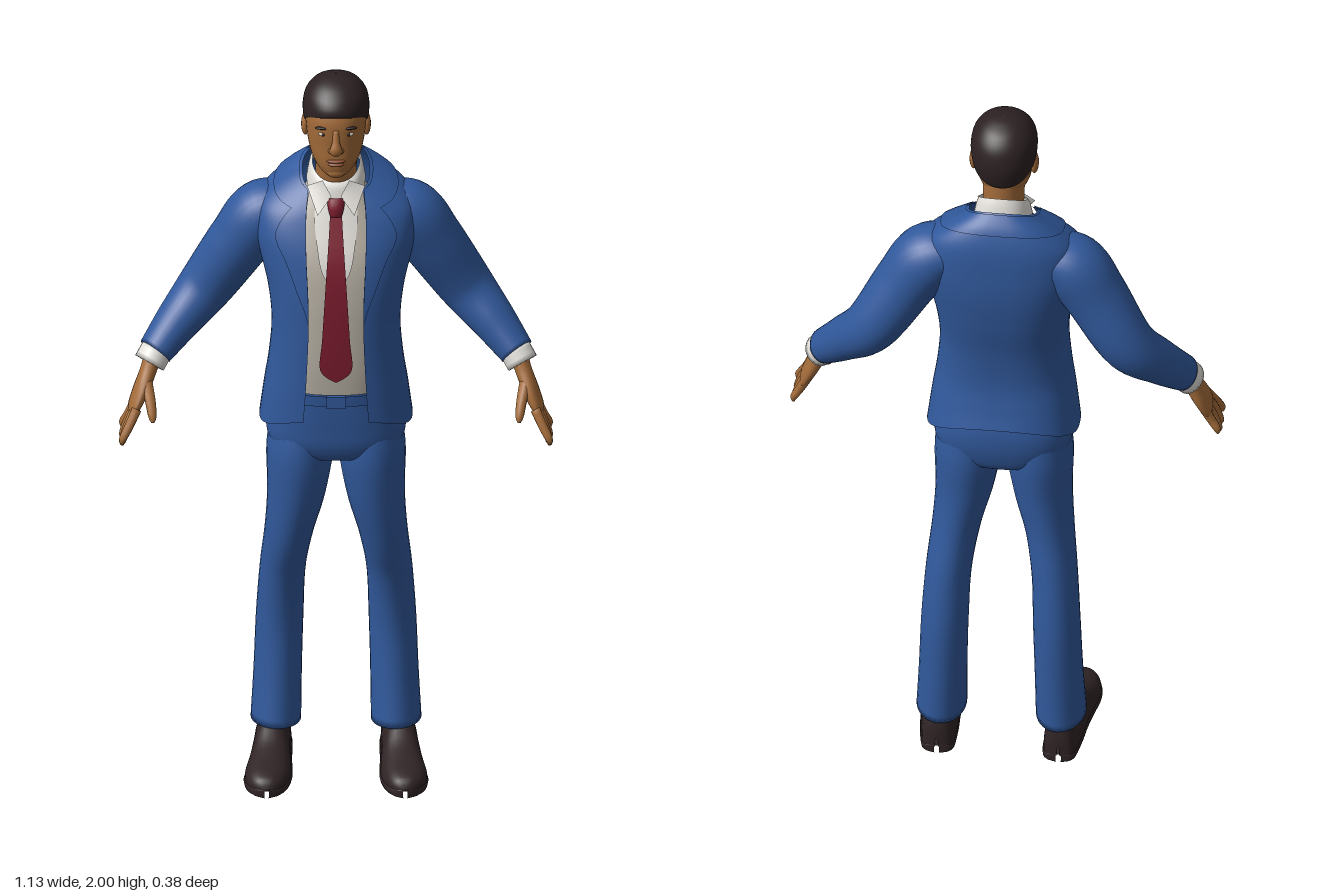
import * as THREE from 'three';

const mat = (name, color, side = THREE.FrontSide) => {
  const m = new THREE.MeshStandardMaterial({ color, side });
  m.name = name;
  return m;
};

// Grid surface from p(u, v); outward is du x dv. wrap joins the u ends.
function sheet(p, nu, nv, wrap = false) {
  const pos = [], idx = [], cols = wrap ? nu : nu + 1;
  for (let j = 0; j <= nv; j++)
    for (let i = 0; i < cols; i++) pos.push(...p(i / nu, j / nv));
  for (let j = 0; j < nv; j++)
    for (let i = 0; i < nu; i++) {
      const k = (i + 1) % cols, a = j * cols, b = a + cols;
      idx.push(a + i, a + k, b + k, a + i, b + k, b + i);
    }
  const g = new THREE.BufferGeometry();
  g.setAttribute('position', new THREE.Float32BufferAttribute(pos, 3));
  g.setIndex(idx);
  g.computeVertexNormals();
  return g;
}

// Smooth interpolation through a list of number rows
function row(rows, v) {
  const n = rows.length - 1, f = Math.min(Math.max(v, 0), 1) * n;
  const i = Math.min(Math.floor(f), n - 1), t = f - i;
  const a = rows[Math.max(i - 1, 0)], b = rows[i], c = rows[i + 1], d = rows[Math.min(i + 2, n)];
  return b.map((_, k) => b[k] + 0.5 * t * (c[k] - a[k] + t * (2 * a[k] - 5 * b[k] + 4 * c[k] - d[k]
    + t * (3 * (b[k] - c[k]) + d[k] - a[k]))));
}

const pw = (x, e) => Math.sign(x) * Math.abs(x) ** e;

// Body section row: [yFront, yBack, halfWidth, zFront, zBack, sideDip]; t = 0 is the front
function bodyPoint([yf, yb, w, zf, zb, dip = 0], t, e, off = 0) {
  const s = Math.sin(t), c = Math.cos(t);
  return [(w + off) * pw(s, e), yb + (yf - yb) * (1 + c) / 2 - dip * s * s,
    (zf + zb) / 2 + ((zf - zb) / 2 + off) * pw(c, e)];
}
const body = (rows, e = 0.8, nv = 32) =>
  sheet((u, v) => bodyPoint(row(rows, v), u * Math.PI * 2, e), 40, nv, true);

// Tapered limb through rows [x, y, z, radiusA, radiusB], closed at both ends
function limb(rows, nu = 20, nv = 24) {
  const ref = new THREE.Vector3(0, 0, 1);
  return sheet((u, v) => {
    const j = Math.round(v * (nv + 2)), w = THREE.MathUtils.clamp((j - 1) / nv, 0, 1);
    const c = row(rows, w), p = row(rows, w - 0.01), q = row(rows, w + 0.01);
    const T = new THREE.Vector3(q[0] - p[0], q[1] - p[1], q[2] - p[2]).normalize();
    const A = T.clone().cross(ref).normalize(), B = T.clone().cross(A);
    const k = j === 0 || j === nv + 2 ? 0 : 1, a = u * Math.PI * 2;
    const o = A.multiplyScalar(c[3] * k * Math.cos(a)).addScaledVector(B, c[4] * k * Math.sin(a));
    return [c[0] + o.x, c[1] + o.y, c[2] + o.z];
  }, nu, nv + 2, true);
}

function mirrored(geo) {
  const g = geo.clone().scale(-1, 1, 1);
  g.setIndex(Array.from(g.index.array).reverse());
  return g;
}

const ball = (x, y, z, a, b, c) => new THREE.SphereGeometry(1, 16, 12).scale(a, b, c).translate(x, y, z);

export function createModel() {
  const model = new THREE.Group();
  model.name = 'manInSuit';
  const D = THREE.DoubleSide;
  const suit = mat('suitBlue', 0x31599c, D), shirt = mat('shirtWhite', 0xe4e1dc, D);
  const vest = mat('waistcoatGrey', 0xb9b2a6), tie = mat('tieRed', 0x7c1c2e, D);
  const skin = mat('skin', 0xa46c3a), lips = mat('lips', 0x8a5034);
  const hair = mat('hair', 0x2c2122, D), leather = mat('shoeLeather', 0x302425);
  const white = mat('eyeWhite', 0xd8d0c4);
  const add = (name, geo, m) => {
    const mesh = new THREE.Mesh(geo, m);
    mesh.name = name;
    model.add(mesh);
  };
  const pair = (name, geo, m) => {
    add(name + 'Left', geo, m);
    add(name + 'Right', mirrored(geo), m);
  };

  // Trousers
  add('trouserSeat', body([
    [0.9, 0.89, 0.03, 0.0, -0.07], [0.92, 0.91, 0.13, 0.065, -0.125], [0.96, 0.96, 0.176, 0.088, -0.145],
    [1.02, 1.02, 0.182, 0.094, -0.15], [1.08, 1.08, 0.168, 0.097, -0.14], [1.15, 1.15, 0.15, 0.1, -0.125],
  ]), suit);
  pair('trouserLeg', limb([
    [0.157, 0.105, -0.083, 0.066, 0.092], [0.152, 0.25, -0.094, 0.063, 0.083], [0.147, 0.4, -0.097, 0.062, 0.078],
    [0.139, 0.55, -0.077, 0.06, 0.081], [0.122, 0.68, -0.045, 0.064, 0.094], [0.103, 0.8, -0.03, 0.077, 0.105],
    [0.094, 0.92, -0.027, 0.088, 0.113], [0.09, 1.02, -0.03, 0.08, 0.1],
  ], 28, 36), suit);
  add('belt', body([[1.095, 1.095, 0.164, 0.104, -0.14], [1.125, 1.125, 0.158, 0.106, -0.134]], 0.8, 2), suit);
  add('beltBuckle', new THREE.BoxGeometry(0.05, 0.034, 0.012).translate(0, 1.11, 0.106), suit);

  // Shoes: rows of z, centre x, half width, height
  const shoeRows = [
    [-0.174, 0.16, 0.004, 0.05], [-0.168, 0.16, 0.03, 0.1], [-0.145, 0.16, 0.042, 0.13], [-0.08, 0.164, 0.048, 0.135],
    [-0.02, 0.168, 0.05, 0.125], [0.04, 0.172, 0.056, 0.09], [0.1, 0.178, 0.06, 0.07],
    [0.15, 0.181, 0.05, 0.058], [0.18, 0.181, 0.03, 0.045], [0.192, 0.181, 0.003, 0.02],
  ];
  pair('shoe', sheet((u, v) => {
    const [z, x, w, h] = row(shoeRows, v), a = u * Math.PI * 2, s = Math.sin(a);
    return [x + w * pw(Math.cos(a), 0.8), s > 0 ? 0.02 + (h - 0.02) * s ** 0.9 : 0.02, z];
  }, 28, 32, true), leather);
  pair('shoeSole', sheet((u, v) => {
    const [z, x, w] = row(shoeRows, v), a = u * Math.PI * 2;
    return [x + (w + 0.003) * pw(Math.cos(a), 0.4), 0.012 + 0.012 * pw(Math.sin(a), 0.4), z];
  }, 16, 32, true), leather);

  // Waistcoat body
  const torso = [
    [1.13, 1.13, 0.14, 0.108, -0.1], [1.2, 1.2, 0.15, 0.112, -0.12], [1.3, 1.3, 0.15, 0.112, -0.12],
    [1.4, 1.4, 0.155, 0.107, -0.12], [1.5, 1.5, 0.16, 0.091, -0.12], [1.6, 1.6, 0.13, 0.053, -0.12],
    [1.68, 1.68, 0.07, 0.02, -0.1],
  ];
  add('waistcoat', body(torso), vest);
  // Height of the chest surface, for laying the shirt front and tie on it
  const chestZ = (x, y) => {
    let lo = 0, hi = 1;
    for (let i = 0; i < 24; i++) {
      const m = (lo + hi) / 2;
      if (row(torso, m)[0] < y) lo = m; else hi = m;
    }
    const [, , w, zf, zb] = row(torso, lo);
    return (zf + zb) / 2 + (zf - zb) / 2 * Math.sqrt(Math.max(0, 1 - Math.abs(x / w) ** 2.5)) ** 0.8;
  };
  const panel = (rows, off) => sheet((u, v) => {
    const [y, w] = row(rows, v), x = (2 * u - 1) * w;
    return [x, y, chestZ(x, y) + off];
  }, 10, 40);
  add('shirtFront', panel([[1.43, 0.004], [1.48, 0.036], [1.55, 0.05], [1.62, 0.056], [1.675, 0.05]], 0.004), shirt);
  add('tie', panel([[1.175, 0.003], [1.21, 0.041], [1.3, 0.036], [1.45, 0.027], [1.6, 0.017], [1.635, 0.016]], 0.012), tie);
  add('tieKnot', limb([[0, 1.622, 0.053, 0.015, 0.008], [0, 1.645, 0.047, 0.021, 0.014], [0, 1.668, 0.036, 0.023, 0.012]], 12, 8), tie);

  // Jacket, open at the front; last number is half the opening
  const jacket = [
    [1.06, 1.08, 0.2, 0.12, -0.183, 0.055, 0.085], [1.13, 1.13, 0.188, 0.121, -0.168, 0.02, 0.08],
    [1.2, 1.2, 0.175, 0.121, -0.155, 0, 0.076], [1.3, 1.3, 0.168, 0.121, -0.16, 0, 0.072],
    [1.4, 1.4, 0.178, 0.117, -0.178, 0, 0.072], [1.49, 1.5, 0.2, 0.102, -0.19, 0, 0.076],
    [1.55, 1.58, 0.212, 0.085, -0.19, 0, 0.078], [1.6, 1.66, 0.2, 0.064, -0.182, 0, 0.078],
    [1.635, 1.72, 0.145, 0.048, -0.16, 0, 0.076], [1.665, 1.757, 0.088, 0.03, -0.13, 0, 0.07],
  ];
  const angle = (x, w) => Math.asin(Math.min(1, x / w) ** 1.25);
  add('jacket', sheet((u, v) => {
    const r = row(jacket, v), a = angle(r[6], r[2]);
    return bodyPoint(r, a + u * 2 * (Math.PI - a), 0.8);
  }, 64, 48), suit);
  // Lapels and collar lie just above the jacket
  const lapel = [[0.002], [0.03], [0.055], [0.078], [0.06], [0.03], [0.012]];
  pair('lapel', sheet((u, v) => {
    const r = row(jacket, 0.38 + 0.62 * v), x = r[6] - 0.002 + u * row(lapel, v)[0];
    return bodyPoint(r, angle(x, r[2]), 0.8, 0.006);
  }, 8, 28), suit);
  add('jacketCollar', sheet((u, v) => {
    const r = row(jacket, 0.87 + 0.13 * v), a = angle(r[6], r[2]) + 0.15;
    return bodyPoint(r, a + u * 2 * (Math.PI - a), 0.8, 0.008);
  }, 40, 8), suit);

  // Sleeves and cuffs
  pair('sleeve', limb([
    [0.12, 1.605, -0.085, 0.055, 0.075], [0.19, 1.57, -0.087, 0.086, 0.09], [0.25, 1.485, -0.096, 0.083, 0.084],
    [0.335, 1.35, -0.113, 0.073, 0.074], [0.41, 1.265, -0.07, 0.059, 0.062], [0.472, 1.195, -0.022, 0.046, 0.05],
  ], 28, 36), suit);
  pair('shirtCuff', limb([[0.465, 1.203, -0.026, 0.042, 0.046], [0.487, 1.168, -0.008, 0.042, 0.046]], 20, 3), shirt);

  // Hands
  pair('palm', limb([
    [0.478, 1.185, -0.015, 0.024, 0.028], [0.49, 1.15, 0, 0.022, 0.03], [0.508, 1.105, 0.016, 0.021, 0.045],
    [0.525, 1.065, 0.03, 0.017, 0.048], [0.532, 1.048, 0.034, 0.01, 0.04],
  ], 18, 18), skin);
  const fingers = [[0.068, 0.1, 0.985], [0.045, 0.07, 0.968], [0.021, 0.034, 0.97], [-0.002, 0, 0.988]];
  fingers.forEach(([z0, z1, y1], i) => pair('finger' + (i + 1), limb([
    [0.52, 1.07, z0, 0.013, 0.013], [0.541, 1.028, (z0 + z1) / 2 + 0.004, 0.012, 0.012],
    [0.556, y1 + 0.015, z1, 0.01, 0.01], [0.558, y1, z1, 0.004, 0.004],
  ], 10, 10), skin));
  pair('thumb', limb([
    [0.495, 1.13, 0.025, 0.016, 0.018], [0.485, 1.095, 0.062, 0.014, 0.015],
    [0.479, 1.06, 0.088, 0.011, 0.011], [0.478, 1.045, 0.097, 0.004, 0.004],
  ], 10, 10), skin);

  // Neck and shirt collar
  add('neck', limb([[0, 1.62, -0.06, 0.055, 0.055], [0, 1.72, -0.045, 0.054, 0.056], [0, 1.81, -0.035, 0.056, 0.062]]), skin);
  add('shirtCollar', body([[1.655, 1.73, 0.077, 0.035, -0.125], [1.69, 1.765, 0.07, 0.026, -0.115],
    [1.705, 1.785, 0.062, 0.016, -0.106]], 0.9, 8), shirt);
  const leaf = [[0.012, 1.675, 0.04], [0.048, 1.63, 0.064], [0.076, 1.695, 0.016], [0.035, 1.715, 0.026]];
  pair('collarPoint', sheet((u, v) => [0, 1, 2].map(k =>
    (1 - v) * ((1 - u) * leaf[0][k] + u * leaf[1][k]) + v * ((1 - u) * leaf[3][k] + u * leaf[2][k])), 4, 4), shirt);

  // Head
  add('head', body([
    [1.737, 1.745, 0.004, 0.045, 0.0], [1.742, 1.75, 0.028, 0.066, -0.03], [1.76, 1.765, 0.048, 0.076, -0.055],
    [1.79, 1.79, 0.064, 0.081, -0.085], [1.83, 1.83, 0.074, 0.081, -0.1], [1.87, 1.87, 0.079, 0.083, -0.112],
    [1.91, 1.91, 0.081, 0.08, -0.118], [1.95, 1.95, 0.07, 0.058, -0.11], [1.985, 1.985, 0.02, 0.0, -0.05],
  ], 0.92), skin);
  add('hairCap', body([
    [1.92, 1.825, 0.081, 0.078, -0.112], [1.928, 1.84, 0.085, 0.08, -0.122], [1.943, 1.89, 0.087, 0.075, -0.131],
    [1.962, 1.94, 0.08, 0.061, -0.122], [1.983, 1.975, 0.06, 0.035, -0.096], [1.996, 1.994, 0.032, 0.003, -0.06],
    [2, 2, 0.001, -0.027, -0.029],
  ], 0.96), hair);
  pair('ear', ball(0.08, 1.855, -0.028, 0.011, 0.032, 0.02), skin);
  add('nose', limb([[0, 1.885, 0.078, 0.008, 0.008], [0, 1.855, 0.087, 0.01, 0.01],
    [0, 1.832, 0.091, 0.017, 0.014], [0, 1.82, 0.083, 0.012, 0.008]], 12, 10), skin);
  pair('nostril', ball(0.012, 1.828, 0.082, 0.009, 0.008, 0.01), skin);
  add('chin', ball(0, 1.758, 0.064, 0.024, 0.016, 0.014), skin);
  add('upperLip', ball(0, 1.797, 0.08, 0.025, 0.005, 0.01), lips);
  add('lowerLip', ball(0, 1.787, 0.079, 0.021, 0.006, 0.01), lips);
  pair('brow', ball(0.034, 1.89, 0.072, 0.021, 0.004, 0.008), hair);
  pair('eye', ball(0.033, 1.872, 0.071, 0.013, 0.005, 0.006), white);
  pair('iris', ball(0.033, 1.872, 0.0745, 0.005, 0.005, 0.004), hair);

  return model;
}
